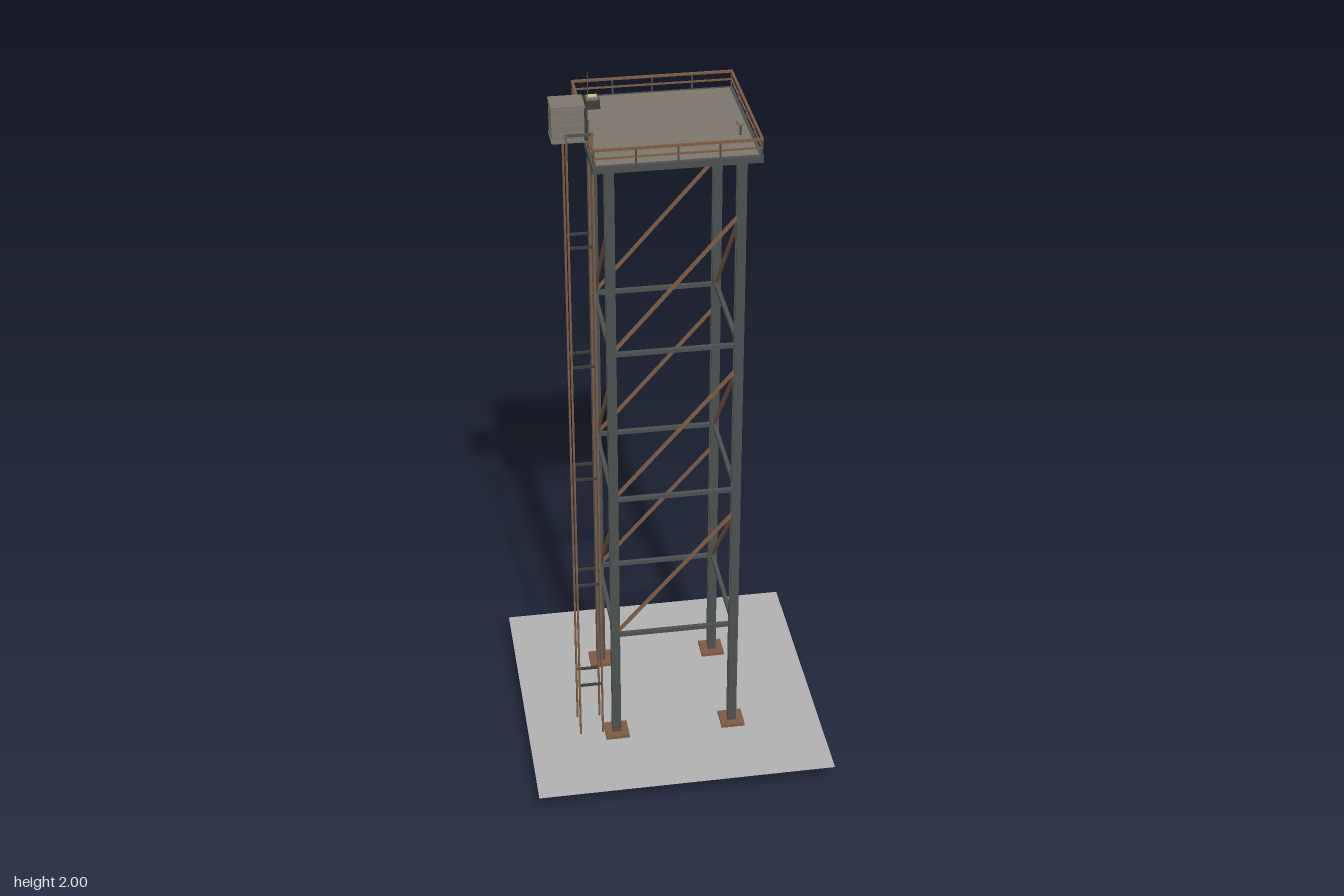
import * as THREE from 'three';

const mat = (color, extra = {}) => new THREE.MeshStandardMaterial({ color, ...extra });
const M = {
  ground: mat(0xb0b0b0, { side: THREE.DoubleSide }),
  steel: mat(0x4b4f4e),
  rust: mat(0x7d5a42),
  plank: mat(0x7c766b),
  dark: mat(0x3a3c3a),
  lamp: mat(0xd8c078),
};

// Box given by its limits on each axis
function box(parent, name, m, [x0, x1], [y0, y1], [z0, z1]) {
  const mesh = new THREE.Mesh(new THREE.BoxGeometry(x1 - x0, y1 - y0, z1 - z0), m);
  mesh.position.set((x0 + x1) / 2, (y0 + y1) / 2, (z0 + z1) / 2);
  mesh.name = name;
  parent.add(mesh);
  return mesh;
}

// Square bar running between two points
function bar(parent, name, m, a, b, t) {
  const p = new THREE.Vector3(...a), q = new THREE.Vector3(...b);
  const mesh = new THREE.Mesh(new THREE.BoxGeometry(t, t, p.distanceTo(q)), m);
  mesh.position.copy(p).add(q).multiplyScalar(0.5);
  mesh.lookAt(q);
  mesh.name = name;
  parent.add(mesh);
  return mesh;
}

const around = (c, h) => [c - h, c + h];

function group(parent, name) {
  const g = new THREE.Group();
  g.name = name;
  parent.add(g);
  return g;
}

export function createModel() {
  const root = new THREE.Group();
  root.name = 'watchPlatform';
  const L = 0.165, P = 0.21, DECK = 1.862;

  // Ground sheet
  const ground = new THREE.Mesh(new THREE.PlaneGeometry(0.826, 0.826), M.ground);
  ground.rotation.x = -Math.PI / 2;
  ground.position.y = 0.071;
  ground.name = 'ground';
  root.add(ground);

  // Legs: H-section columns on footings
  const legs = group(root, 'legs');
  const h = 0.012, f = 0.005, w = 0.004;
  const section = new THREE.Shape([
    [-h, -h], [h, -h], [h, -h + f], [w, -h + f], [w, h - f], [h, h - f],
    [h, h], [-h, h], [-h, h - f], [-w, h - f], [-w, -h + f], [-h, -h + f],
  ].map(([x, y]) => new THREE.Vector2(x, y)));
  const legGeo = new THREE.ExtrudeGeometry(section, { depth: 1.78, bevelEnabled: false });
  legGeo.rotateX(-Math.PI / 2);
  for (const x of [-L, L]) for (const z of [-L, L]) {
    const leg = new THREE.Mesh(legGeo, M.steel);
    leg.position.set(x, 0.067, z);
    leg.name = 'leg';
    legs.add(leg);
    box(legs, 'footing', M.rust, around(x, 0.033), [0.068, 0.08], around(z, 0.033));
  }

  // Three tiers of girts and diagonals on all four sides
  const bracing = group(root, 'bracing');
  for (const y of [0.415, 0.863, 1.31]) for (const s of [-L, L]) {
    bar(bracing, 'girt', M.steel, [-L, y, s], [L, y, s], 0.011);
    bar(bracing, 'girt', M.steel, [s, y, -L], [s, y, L], 0.011);
    bar(bracing, 'diagonal', M.rust, [-L, y + 0.002, s], [L, y + 0.378, s], 0.008);
    bar(bracing, 'diagonal', M.rust, [s, y + 0.002, -L], [s, y + 0.378, L], 0.008);
  }

  // Deck: slab, edge beams and planks
  const deck = group(root, 'deck');
  box(deck, 'slab', M.dark, [-0.2, 0.2], [1.846, 1.857], [-0.2, 0.2]);
  for (const s of [-1, 1]) {
    box(deck, 'edgeBeam', M.steel, [-P, P], [1.844, DECK], around(s * 0.205, 0.005));
    box(deck, 'edgeBeam', M.steel, around(s * 0.205, 0.005), [1.844, DECK], [-0.2, 0.2]);
  }
  const n = 12, pitch = 0.4 / n;
  for (let i = 0; i < n; i++) {
    box(deck, 'plank', M.plank, [-0.2, 0.2], [1.855, DECK + 0.001],
      around(-0.2 + (i + 0.5) * pitch, pitch / 2 - 0.0007));
  }

  // Guard rail: posts with top and middle rails
  const guard = group(root, 'guardRail');
  const R = 0.206;
  for (const s of [-R, R]) {
    for (const [y, t] of [[1.905, 0.006], [1.883, 0.004]]) {
      bar(guard, 'rail', M.rust, [-R - t / 2, y, s], [R + t / 2, y, s], t);
      bar(guard, 'rail', M.rust, [s, y, -R], [s, y, R], t);
    }
    for (let i = 0; i < 5; i++) {
      const p = -R + (i * R) / 2;
      box(guard, 'post', M.steel, around(p, 0.002), [DECK - 0.005, 1.905], around(s, 0.002));
      if (i > 0 && i < 4)
        box(guard, 'post', M.steel, around(s, 0.002), [DECK - 0.005, 1.905], around(p, 0.002));
    }
  }

  // Hoist: four guide rails with short ties
  const hoist = group(root, 'hoist');
  for (const z of [0.084, 0.158]) {
    for (const x of [-0.266, -0.203])
      box(hoist, 'guideRail', M.rust, around(x, 0.0025), [0, 1.928], around(z, 0.004));
    for (let i = 0; i < 5; i++) {
      const y = 0.243 + i * 0.3445;
      bar(hoist, 'tie', M.dark, [-0.266, y, z], [-0.203, y, z], 0.006);
    }
    bar(hoist, 'topTie', M.steel, [-0.269, 1.926, z], [-0.2, 1.926, z], 0.006);
  }

  // Hoist cabin: slatted box with a lid and a dark door frame
  const cabin = group(root, 'cabin');
  box(cabin, 'body', M.plank, [-0.297, -0.22], [1.908, 1.994], [0.09, 0.15]);
  box(cabin, 'lid', M.plank, [-0.301, -0.218], [1.993, 2], [0.086, 0.154]);
  box(cabin, 'base', M.plank, [-0.301, -0.214], [1.904, 1.91], [0.086, 0.154]);
  for (let i = 0; i < 4; i++) {
    const y = 1.9215 + i * 0.0205;
    box(cabin, 'slats', M.plank, [-0.3, -0.219], around(y, 0.0085), [0.087, 0.153]);
  }
  for (const z of [0.088, 0.152])
    box(cabin, 'doorPost', M.dark, [-0.22, -0.212], [1.908, 1.995], around(z, 0.003));

  // Lamp box with aerial on the back corner
  const lamp = group(root, 'lampBox');
  box(lamp, 'housing', M.dark, around(-0.165, 0.019), [DECK, 1.886], around(-0.137, 0.017));
  box(lamp, 'cap', M.plank, around(-0.165, 0.015), [1.885, 1.892], around(-0.137, 0.013));
  box(lamp, 'lens', M.lamp, around(-0.165, 0.011), [1.89, 1.895], around(-0.137, 0.007));
  box(lamp, 'aerial', M.steel, around(-0.175, 0.0012), [1.89, 1.957], around(-0.141, 0.0012));

  // Small T-shaped stand on the front corner
  const stand = group(root, 'stand');
  box(stand, 'stem', M.steel, around(0.176, 0.0025), [DECK, 1.893], around(0.083, 0.0025));
  box(stand, 'head', M.plank, around(0.176, 0.009), [1.891, 1.897], around(0.083, 0.009));
  return root;
}
